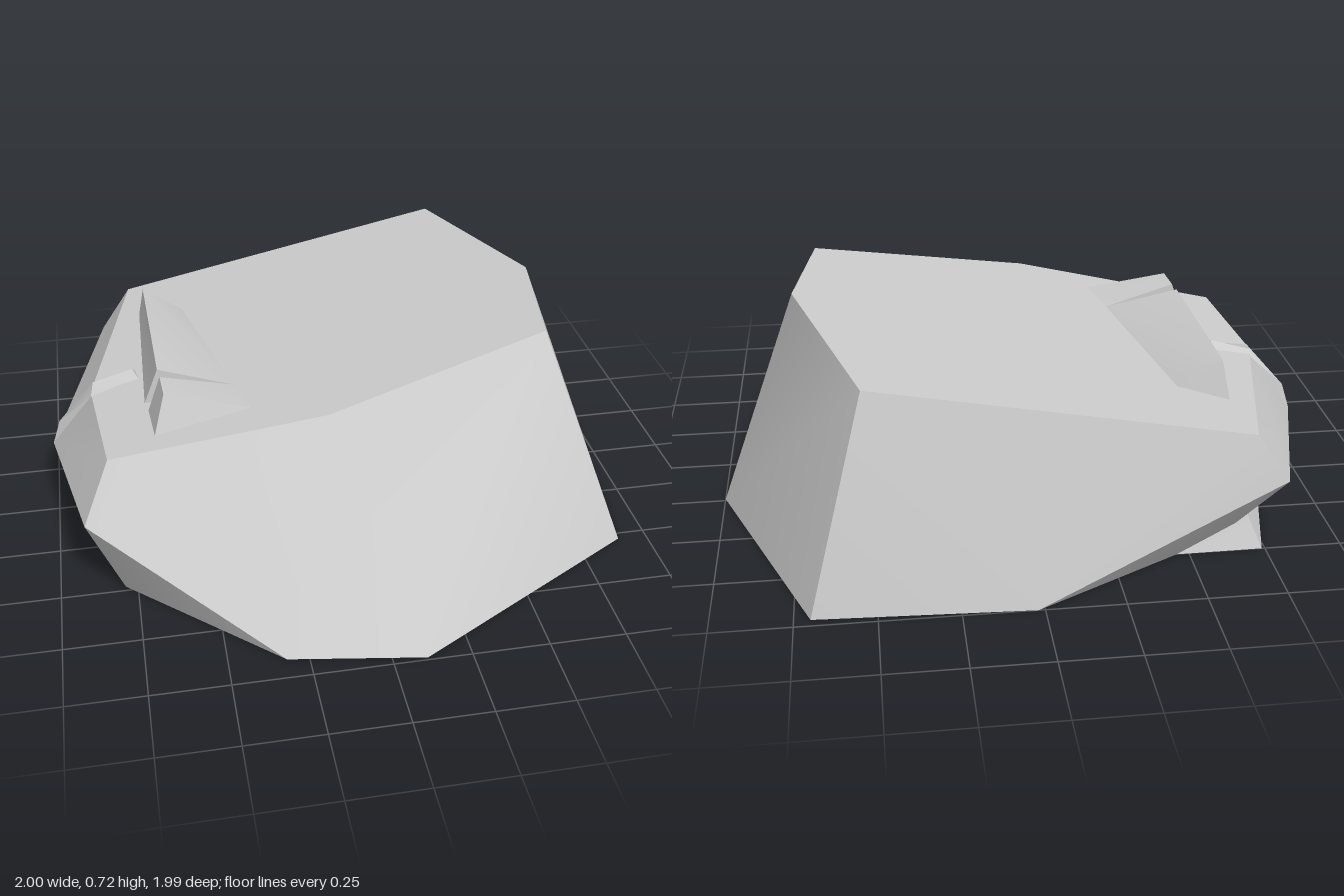
import * as THREE from 'three';
import { toCreasedNormals } from 'three/addons/utils/BufferGeometryUtils.js';

const material = new THREE.MeshStandardMaterial({
  color: 0xcccccc, side: THREE.DoubleSide,
});

// Faceted mesh from corner points and polygons, each split as a fan
function facets(name, points, polygons) {
  const pos = [];
  for (const p of polygons) {
    for (let i = 1; i < p.length - 1; i++) {
      pos.push(...points[p[0]], ...points[p[i]], ...points[p[i + 1]]);
    }
  }
  const geo = new THREE.BufferGeometry();
  geo.setAttribute('position', new THREE.Float32BufferAttribute(pos, 3));
  const mesh = new THREE.Mesh(toCreasedNormals(geo, 0.6), material);
  mesh.name = name;
  return mesh;
}

// Height of the sloping top of the rock
const slope = (x) => 0.42 + 0.2 * (x + 0.81);

// Open-bottomed shell: a ground outline leaning in to a sloping roof
function innerShell(name, outline, [cx, cz], shrink, drop) {
  const n = outline.length;
  const roof = outline.map(([x, z]) => {
    const rx = cx + (x - cx) * shrink;
    return [rx, slope(rx) - drop, cz + (z - cz) * shrink];
  });
  const polygons = outline.map((_, i) => [i, (i + 1) % n, n + (i + 1) % n, n + i]);
  polygons.push(outline.map((_, i) => n + i));
  return facets(name, [...outline.map(([x, z]) => [x, 0, z]), ...roof], polygons);
}

// Ridge block: steep left face, long slope merging into the top on the right
function ridge(name, left, crest, tips) {
  const points = [
    ...left.map(([x, z]) => [x, slope(x), z]),
    ...crest.map(([x, z]) => [x, 0.575, z]),
    ...tips.map(([x, z]) => [x, slope(x), z]),
  ];
  return facets(name, points, [[0, 1, 3, 2], [2, 3, 5, 4], [0, 2, 4], [1, 5, 3]]);
}

export function createModel() {
  const group = new THREE.Group();
  group.name = 'rock';

  // Outer shell: rim (0-8), top corners (9-15), undercut corners (16-17)
  const shell = [
    [-0.32, 0, 0.92], [0.11, 0, 0.99], [0.9, 0, 0.53], [1, 0, -0.24],
    [0.7, 0, -0.97], [0.02, 0, -1], [-0.79, 0.28, -0.81], [-1, 0.19, -0.14],
    [-0.9, 0.26, 0.48],
    [-0.81, 0.42, 0.35], [-0.1, 0.56, 0.43], [0.66, 0.71, 0.28], [0.73, 0.72, -0.17],
    [0.52, 0.68, -0.83], [-0.68, 0.445, -0.8], [-0.85, 0.41, -0.1],
    [-0.6, 0, -0.68], [-0.79, 0, 0.48],
  ];
  group.add(facets('outerShell', shell, [
    [8, 0, 10, 9], [0, 1, 10], [1, 2, 11, 10], [2, 3, 12, 11], [3, 4, 13, 12],
    [4, 5, 13], [5, 14, 13], [5, 6, 14], [6, 7, 15, 14], [7, 8, 9, 15],
    [9, 10, 11, 12, 13, 14, 15],
    [5, 16, 6], [16, 17, 7, 6], [17, 8, 7], [17, 0, 8],
  ]));

  // Nested shells seen through the open base
  group.add(innerShell('middleShell', [
    [-0.79, 0.46], [-0.24, 0.65], [0.18, 0.54], [0.6, 0.19],
    [0.7, -0.16], [0.41, -0.76], [-0.74, -0.75], [-0.9, -0.1],
  ], [-0.06, -0.12], 0.75, 0.06));
  group.add(innerShell('innerCore', [
    [-0.76, 0.42], [-0.28, 0.59], [0.43, -0.19], [0.15, -0.55],
    [-0.6, -0.6], [-0.82, -0.1],
  ], [-0.42, -0.12], 0.5, 0.1));

  // Broken ridge across the low end, split by a notch
  group.add(ridge('longRidge',
    [[-0.65, -0.57], [-0.67, 0.07]], [[-0.63, -0.53], [-0.62, 0.07]],
    [[-0.49, -0.52], [-0.37, 0.1]]));
  group.add(ridge('shortRidge',
    [[-0.66, 0.12], [-0.65, 0.285]], [[-0.615, 0.12], [-0.61, 0.23]],
    [[-0.37, 0.1], [-0.33, 0.27]]));

  // Pointed fin running from the ridge to the low edge
  group.add(facets('fin', [
    [-1, 0.19, -0.14], [-0.97, 0.28, -0.14], [-0.84, 0.425, -0.14], [-0.7, 0.465, -0.14],
    [-0.85, 0.41, -0.07], [-0.68, 0.445, -0.1],
    [-0.84, 0.405, -0.17], [-0.69, 0.445, -0.165],
  ], [
    [0, 4, 1], [1, 4, 2], [2, 4, 5, 3], [0, 1, 6], [1, 2, 6], [2, 3, 7, 6], [3, 5, 7],
  ]));

  return group;
}
